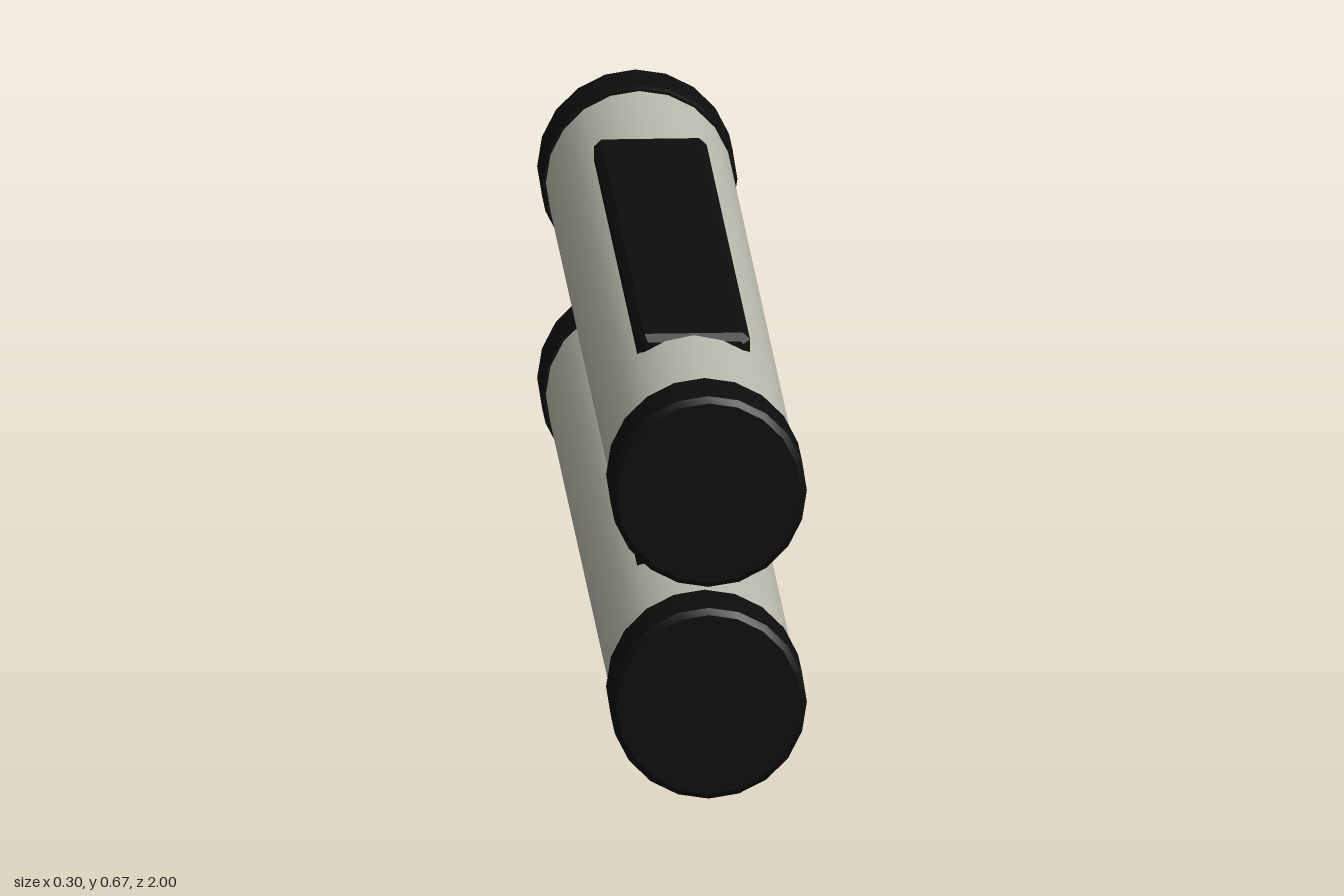
import * as THREE from 'three';
import { toCreasedNormals } from 'three/addons/utils/BufferGeometryUtils.js';

const SIDES = 20;

// Revolve a (radius, z) profile around the z axis, keeping its rims crisp
function turned(profile) {
  const points = profile.map(([r, z]) => new THREE.Vector2(r, z));
  const geometry = new THREE.LatheGeometry(points, SIDES).rotateX(Math.PI / 2);
  return toCreasedNormals(geometry, 0.5);
}

// Long bar with every edge chamfered
function chamferedBar(w, h, length, c) {
  const x = w / 2 - c, y = h / 2 - c;
  const shape = new THREE.Shape([
    new THREE.Vector2(-x, -y), new THREE.Vector2(x, -y),
    new THREE.Vector2(x, y), new THREE.Vector2(-x, y),
  ]);
  const geometry = new THREE.ExtrudeGeometry(shape, {
    depth: length - 2 * c, bevelEnabled: true,
    bevelSize: c, bevelThickness: c, bevelSegments: 1,
  });
  // Trim the long corners to a single 45 degree chamfer
  const p = geometry.attributes.position;
  for (let i = 0; i < p.count; i++) {
    const dx = Math.abs(p.getX(i)) - x, dy = Math.abs(p.getY(i)) - y;
    if (dx > c + 1e-4) p.setX(i, Math.sign(p.getX(i)) * (x + c));
    if (dy > c + 1e-4) p.setY(i, Math.sign(p.getY(i)) * (y + c));
  }
  return geometry.translate(0, 0, -(length - 2 * c) / 2);
}

// Same bar with an octagonal section, so the long edges are cut as well
function mountBar(w, h, length, c) {
  const x = w / 2, y = h / 2;
  const corners = [
    [-x + c, -y], [x - c, -y], [x, -y + c], [x, y - c],
    [x - c, y], [-x + c, y], [-x, y - c], [-x, -y + c],
  ];
  const shape = new THREE.Shape(corners.map(([a, b]) => new THREE.Vector2(a, b)));
  const geometry = new THREE.ExtrudeGeometry(shape, {
    depth: length - 2 * c, bevelEnabled: true,
    bevelSize: c, bevelOffset: -c, bevelThickness: c, bevelSegments: 1,
  });
  return geometry.translate(0, 0, -(length - 2 * c) / 2);
}

export function createModel() {
  const black = new THREE.MeshStandardMaterial({ color: 0x0d0d0d });
  black.name = 'black';
  const paleGrey = new THREE.MeshStandardMaterial({ color: 0xb9b8ac });
  paleGrey.name = 'paleGrey';

  const model = new THREE.Group();
  model.name = 'twinTubes';
  const add = (name, geometry, material, parent, y = 0) => {
    const mesh = new THREE.Mesh(geometry, material);
    mesh.name = name;
    mesh.position.y = y;
    parent.add(mesh);
  };

  // Body, closed front cap, and back cap with a round recess
  const body = new THREE.CylinderGeometry(0.1425, 0.1425, 1.9, SIDES, 1, true).rotateX(Math.PI / 2);
  const frontCap = turned([[0.138, 0.873], [0.147, 0.873], [0.15, 0.88], [0.15, 0.99], [0.141, 1], [0, 1]]);
  const backCap = turned([
    [0, -0.95], [0.09, -0.95], [0.1, -0.99], [0.105, -1], [0.141, -1],
    [0.15, -0.99], [0.15, -0.895], [0.147, -0.888], [0.138, -0.888],
  ]);

  for (const [name, y] of [['upperTube', 0.515], ['lowerTube', 0.182]]) {
    const tube = new THREE.Group();
    tube.name = name;
    tube.position.y = y;
    add('tubeBody', body, paleGrey, tube);
    add('frontCap', frontCap, black, tube);
    add('backCap', backCap, black, tube);
    model.add(tube);
  }

  // One bar runs through both tubes and shows above, between and below them
  add('mountingBar', mountBar(0.172, 0.66, 1.2, 0.011), black, model, 0.33);
  return model;
}
